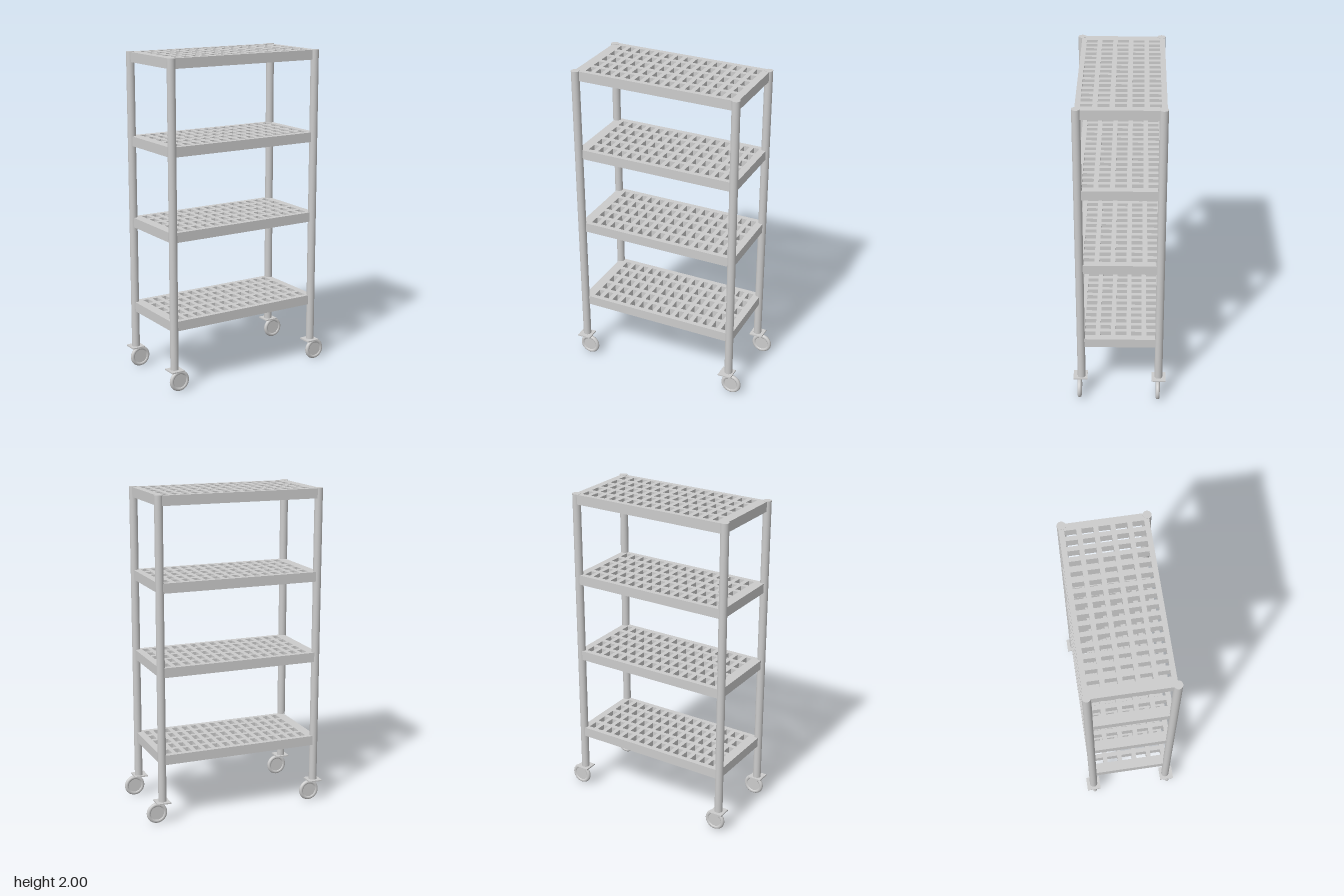
import * as THREE from 'three';

const material = new THREE.MeshStandardMaterial({ color: 0xcccccc });

function add(parent, name, geometry, x = 0, y = 0, z = 0) {
  const mesh = new THREE.Mesh(geometry, material);
  mesh.name = name;
  mesh.position.set(x, y, z);
  parent.add(mesh);
  return mesh;
}

function rect(path, x0, y0, x1, y1) {
  path.moveTo(x0, y0);
  path.lineTo(x1, y0);
  path.lineTo(x1, y1);
  path.lineTo(x0, y1);
  path.closePath();
  return path;
}

// Slab with a 15 x 5 grid of slots; its underside lies at y = 0
function shelfGeometry(thickness) {
  const shape = rect(new THREE.Shape(), -0.548, -0.241, 0.489, 0.269);
  for (let i = 0; i < 15; i++) {
    for (let j = 0; j < 5; j++) {
      const x = -0.486 + i * 0.0639;
      const y = -0.211 + j * 0.0954;
      shape.holes.push(rect(new THREE.Path(), x, y, x + 0.036, y + 0.067));
    }
  }
  const geometry = new THREE.ExtrudeGeometry(shape, { depth: thickness, bevelEnabled: false });
  return geometry.rotateX(-Math.PI / 2);
}

export function createModel() {
  const model = new THREE.Group();
  model.name = 'shelfTrolley';

  // Four perforated shelves
  const thickness = 0.06;
  const shelf = shelfGeometry(thickness);
  [0.434, 0.98, 1.489, 1.998].forEach((top, i) => add(model, `shelf${i + 1}`, shelf, 0, top - thickness, 0));

  // Corner posts, each with a mounting plate and a trailing caster wheel
  const postBottom = 0.135;
  const post = new THREE.CylinderGeometry(0.025, 0.025, 2 - postBottom, 32);
  const plate = new THREE.BoxGeometry(0.086, 0.008, 0.088);
  const tire = new THREE.TorusGeometry(0.0525, 0.0128, 16, 48);
  const hub = new THREE.CylinderGeometry(0.044, 0.044, 0.016, 40).rotateX(Math.PI / 2);

  const corners = [
    { name: 'frontRight', post: [-0.539, 0.241], plate: [-0.539, 0.247], wheel: [-0.513, 0.253] },
    { name: 'frontLeft', post: [0.476, 0.233], plate: [0.468, 0.24], wheel: [0.501, 0.245] },
    { name: 'backRight', post: [-0.539, -0.25], plate: [-0.539, -0.251], wheel: [-0.513, -0.246] },
    { name: 'backLeft', post: [0.479, -0.25], plate: [0.481, -0.251], wheel: [0.514, -0.246] },
  ];
  for (const c of corners) {
    add(model, `${c.name}Post`, post, c.post[0], (2 + postBottom) / 2, c.post[1]);
    add(model, `${c.name}Plate`, plate, c.plate[0], 0.135, c.plate[1]);
    const wheel = new THREE.Group();
    wheel.name = `${c.name}Wheel`;
    wheel.position.set(c.wheel[0], 0.0655, c.wheel[1]);
    add(wheel, 'tire', tire);
    add(wheel, 'hub', hub);
    model.add(wheel);
  }
  return model;
}
